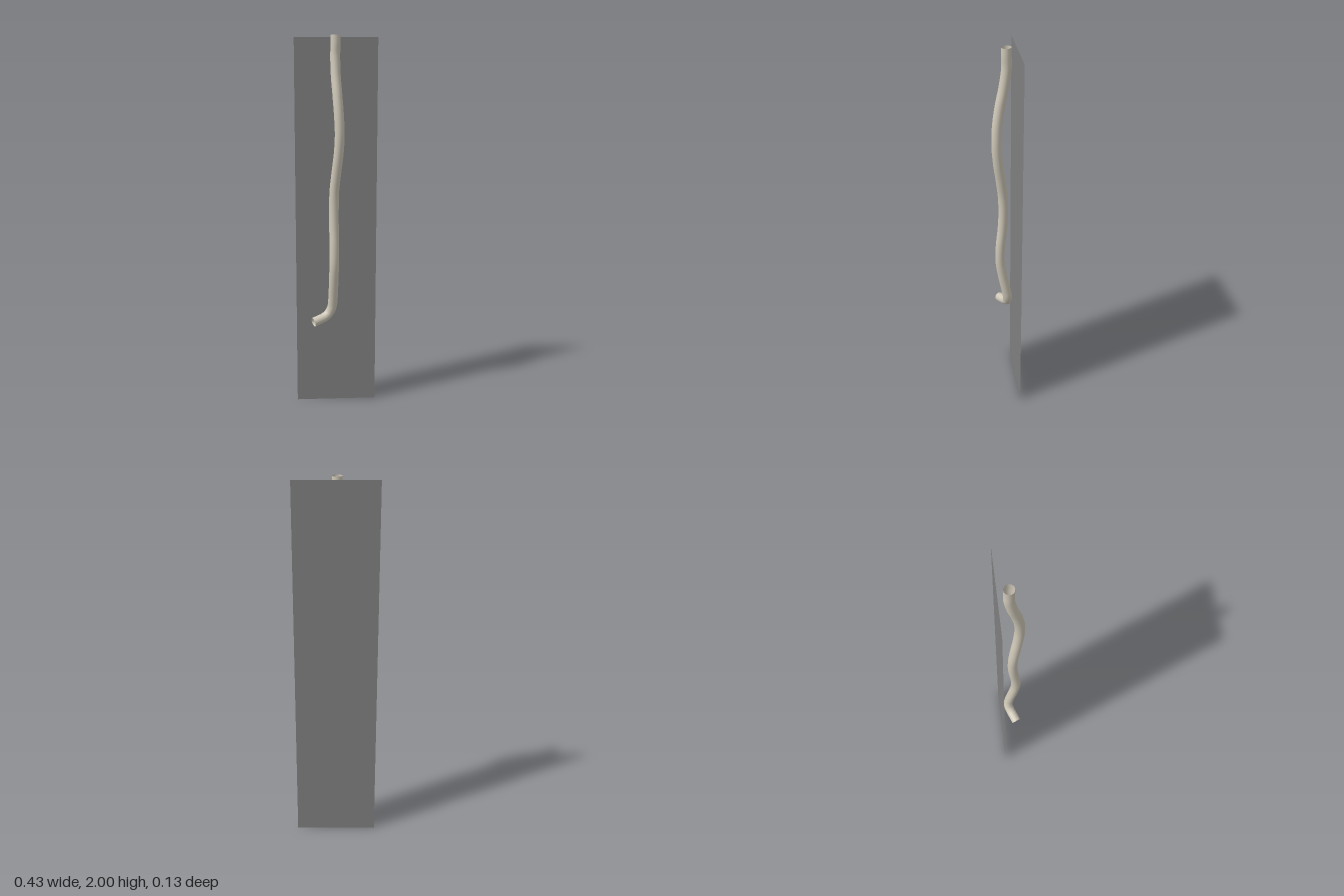
import * as THREE from 'three';

export function createModel() {
  const group = new THREE.Group();
  const pipeColour = new THREE.MeshStandardMaterial({ color: 0xcfc8b8, side: THREE.DoubleSide });
  pipeColour.name = 'warm off-white';
  const panelColour = new THREE.MeshStandardMaterial({ color: 0x808080, side: THREE.DoubleSide });
  panelColour.name = 'mid grey';

  // Flat upright backing panel
  const panel = new THREE.Mesh(new THREE.PlaneGeometry(0.434, 1.99), panelColour);
  panel.name = 'backPanel';
  panel.position.set(0, 0.995, -0.064);
  group.add(panel);

  // Open, gently wavy pipe ending in a sideways elbow
  const path = new THREE.CatmullRomCurve3([
    [-0.006, 2, -0.011], [-0.006, 1.96, -0.011], [-0.008, 1.9, -0.012],
    [-0.006, 1.8, 0.002], [0.001, 1.7, 0.023], [0.008, 1.6, 0.037],
    [0.012, 1.5, 0.04], [0.007, 1.4, 0.032], [-0.004, 1.3, 0.018],
    [-0.014, 1.2, 0.006], [-0.016, 1.1, 0.003], [-0.016, 1, 0.008],
    [-0.015, 0.9, 0.018], [-0.016, 0.8, 0.02], [-0.018, 0.7, 0.006],
    [-0.021, 0.6, -0.014], [-0.026, 0.555, -0.022], [-0.042, 0.521, -0.024],
    [-0.066, 0.501, -0.015], [-0.095, 0.491, -0.002], [-0.128, 0.482, 0.012],
  ].map((p) => new THREE.Vector3(...p)));
  const pipe = new THREE.Mesh(new THREE.TubeGeometry(path, 120, 0.0255, 20), pipeColour);
  pipe.name = 'pipe';
  group.add(pipe);

  return group;
}
